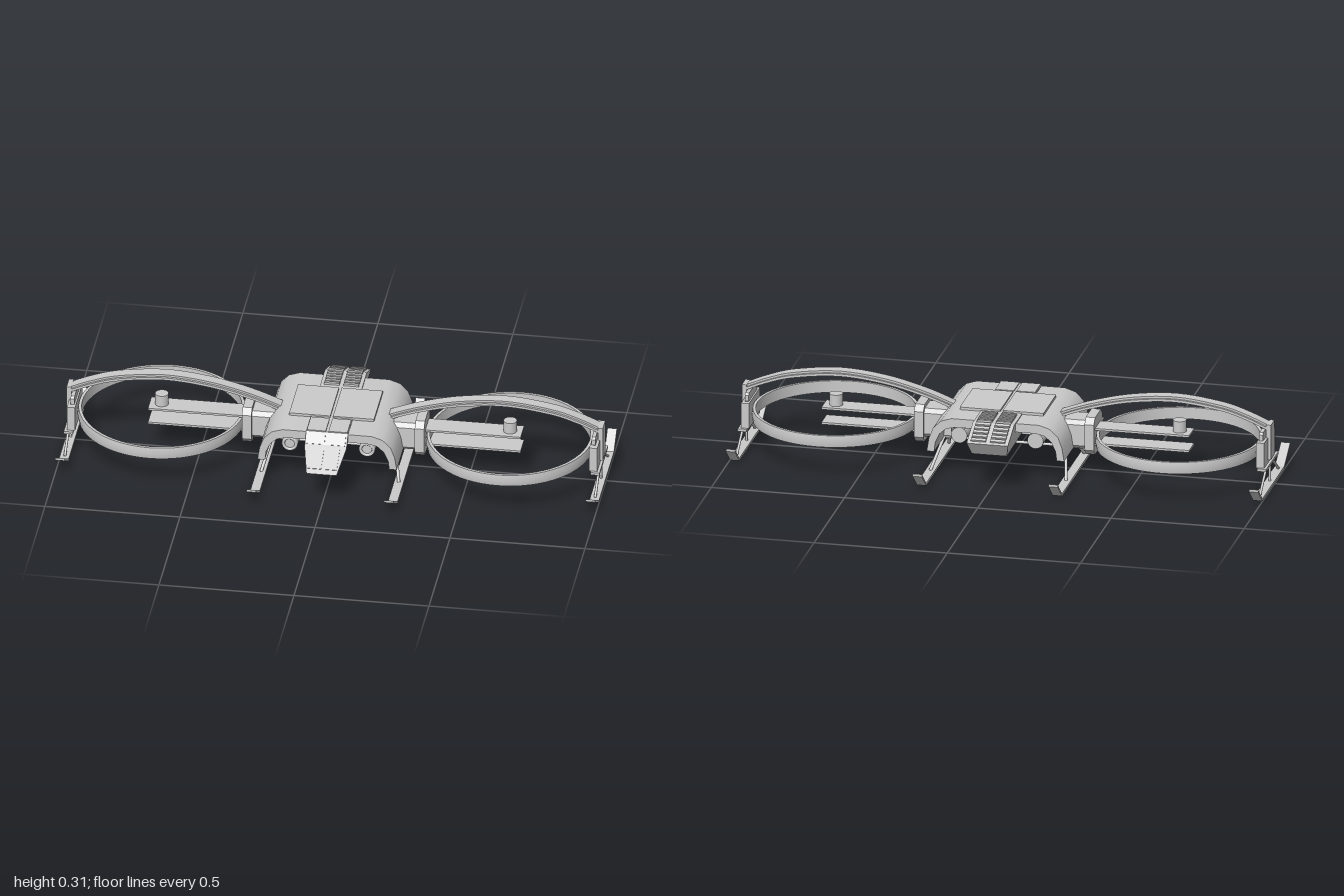
import * as THREE from 'three';
import { toCreasedNormals } from 'three/addons/utils/BufferGeometryUtils.js';

const material = new THREE.MeshStandardMaterial({ color: 0xcccccc });
const V = (x, y, z) => new THREE.Vector3(x, y, z);

function add(parent, name, geometry) {
  const mesh = new THREE.Mesh(geometry, material);
  mesh.name = name;
  parent.add(mesh);
  return mesh;
}

function box(parent, name, w, h, d, x, y, z) {
  const mesh = add(parent, name, new THREE.BoxGeometry(w, h, d));
  mesh.position.set(x, y, z);
  return mesh;
}

// Round bar between two points
function bar(parent, name, a, b, r) {
  const mesh = add(parent, name, new THREE.CylinderGeometry(r, r, a.distanceTo(b), 8));
  mesh.position.copy(a).lerp(b, 0.5);
  mesh.quaternion.setFromUnitVectors(V(0, 1, 0), b.clone().sub(a).normalize());
  return mesh;
}

// Outline in (x, y), extruded symmetrically along z
function extrudeZ(points, depth) {
  const shape = new THREE.Shape(points.map(p => new THREE.Vector2(p[0], p[1])));
  const g = new THREE.ExtrudeGeometry(shape, { depth, bevelEnabled: false });
  g.translate(0, 0, -depth / 2);
  return toCreasedNormals(g, 0.5);
}

// Outline in (z, y), extruded symmetrically along x
const extrudeX = (points, width) => extrudeZ(points, width).rotateY(-Math.PI / 2);

// Closed outline of a strip: a path and the same path moved down by t
const strip = (path, t) => [...path, ...path.map(p => [p[0], p[1] - t]).reverse()];

// Smooth open path through a few points
const smooth = (pts, n) => new THREE.SplineCurve(pts.map(p => new THREE.Vector2(...p)))
  .getPoints(n).map(p => [p.x, p.y]);

function skid(parent, name, x, front, back) {
  const path = [[-back - 0.07, 0.068], [-back - 0.035, 0.038], [-back, 0.01],
    [front, 0.01], [front + 0.05, 0.038], [front + 0.1, 0.068]];
  add(parent, name, extrudeX(strip(path, 0.01), 0.035)).position.x = x;
}

function buildHull() {
  const hull = new THREE.Group();
  hull.name = 'hull';

  // Arched canopy shell, open below
  const half = [[0.258, 0.1], [0.25, 0.15], [0.235, 0.19], [0.205, 0.22], [0.165, 0.233]];
  const inner = [[0.15, 0.2], [0.185, 0.192], [0.21, 0.17], [0.226, 0.135], [0.23, 0.1]];
  const flip = pts => pts.map(p => [-p[0], p[1]]).reverse();
  add(hull, 'canopy', extrudeZ([...half, ...flip(half), ...flip(inner), ...inner], 0.42));

  // Central fuselage with a wedge nose and an upswept tail
  const fuselage = extrudeX([[0.31, 0.132], [0.345, 0.135], [0.25, 0.194], [0.24, 0.2],
    [0.21, 0.237], [-0.24, 0.237], [-0.345, 0.192], [-0.31, 0.14]], 0.155);
  const pos = fuselage.attributes.position;
  for (let i = 0; i < pos.count; i++) {
    const z = pos.getZ(i);
    if (z > 0.28) pos.setX(i, pos.getX(i) * 0.72);
    else if (z < -0.28 && pos.getY(i) < 0.16) pos.setX(i, pos.getX(i) * 0.85);
  }
  add(hull, 'fuselage', toCreasedNormals(fuselage, 0.3));

  // Roof panels, windscreen panes and vents, on both sides of the centre line
  for (const s of [-1, 1]) {
    box(hull, 'roofPanel', 0.152, 0.014, 0.21, s * 0.081, 0.236, -0.003);
    box(hull, 'frontRoofStrip', 0.07, 0.014, 0.095, s * 0.04, 0.234, 0.162);
    const pane = box(hull, 'windscreenPane', 0.066, 0.006, 0.046, s * 0.038, 0.219, 0.226);
    pane.rotation.x = 0.89;
    const nosePlate = box(hull, 'nosePlate', 0.05, 0.004, 0.085, s * 0.029, 0.169, 0.291);
    nosePlate.rotation.x = 0.56;
    for (let i = 0; i < 6; i++)
      box(hull, 'roofVent', 0.056, 0.016, 0.011, s * 0.036, 0.237, -0.138 - i * 0.018);
    for (let i = 0; i < 5; i++) {
      const vent = box(hull, 'tailVent', 0.056, 0.012, 0.013, s * 0.036,
        0.234 - i * 0.0085, -0.25 - i * 0.0195);
      vent.rotation.x = -0.41;
    }

    // Engine pod with a ringed intake, hung under the canopy
    const pod = add(hull, 'enginePod', new THREE.CylinderGeometry(0.03, 0.03, 0.36, 24));
    pod.rotation.x = Math.PI / 2;
    pod.position.set(s * 0.143, 0.16, 0);
    const lip = add(hull, 'intakeRing', new THREE.TorusGeometry(0.024, 0.006, 8, 24));
    lip.position.set(s * 0.143, 0.16, 0.18);
    box(hull, 'podPylon', 0.04, 0.03, 0.34, s * 0.143, 0.194, 0);
  }

  // Cross tubes joining the main skids
  for (const z of [-0.05, 0.05])
    bar(hull, 'crossTube', V(-0.23, 0.104, z), V(0.23, 0.104, z), 0.006);
  return hull;
}

// Rotor assembly for the +x side (s = 1) or the -x side (s = -1)
function buildSide(s) {
  const g = new THREE.Group();
  g.name = s > 0 ? 'leftWing' : 'rightWing';

  // Shoulder block and chamfered collar
  const chamfered = (w, lo, hi, c) => [[-w + c, lo], [w - c, lo], [w, lo + c], [w, hi - c],
    [w - c, hi], [-w + c, hi], [-w, hi - c], [-w, lo + c]];
  add(g, 'shoulder', extrudeX(chamfered(0.058, 0.095, 0.205, 0.015), 0.12)).position.x = s * 0.26;
  add(g, 'collar', extrudeX(chamfered(0.07, 0.077, 0.22, 0.022), 0.035)).position.x = s * 0.32;

  // Rotor ring
  const profile = [[0.305, 0.12], [0.309, 0.142], [0.305, 0.165], [0.294, 0.165],
    [0.294, 0.12], [0.305, 0.12]].map(p => new THREE.Vector2(...p));
  const ring = add(g, 'rotorRing', toCreasedNormals(new THREE.LatheGeometry(profile, 64), 0.6));
  ring.position.set(s * 0.645, 0, -0.005);

  // Two-layer arch over the rotor
  const arch = [[0.2, 0.222], [0.31, 0.262], [0.46, 0.299], [0.63, 0.315],
    [0.8, 0.296], [0.9, 0.267], [0.988, 0.23]];
  const path = smooth(arch, 28).map(p => [s * p[0], p[1]]);
  if (s > 0) path.reverse();
  add(g, 'archRidge', extrudeZ(strip(path, 0.012), 0.042));
  add(g, 'archBase', extrudeZ(strip(path.map(p => [p[0], p[1] - 0.008]), 0.01), 0.06));

  // Twin rotor-support plates with the motor on top
  box(g, 'upperPlate', 0.39, 0.008, 0.085, s * 0.495, 0.174, -0.004);
  box(g, 'lowerPlate', 0.39, 0.008, 0.085, s * 0.495, 0.116, -0.004);
  const motor = add(g, 'motor', new THREE.CylinderGeometry(0.025, 0.025, 0.046, 20));
  motor.position.set(s * 0.645, 0.199, -0.004);

  // Wing tip: post, end plate and foot plate
  box(g, 'tipPost', 0.018, 0.135, 0.06, s * 0.984, 0.169, 0);
  box(g, 'endPlate', 0.03, 0.097, 0.182, s * 0.967, 0.138, 0);
  add(g, 'tipBracket', extrudeX(chamfered(0.07, 0.18, 0.218, 0.008), 0.014)).position.x = s * 0.965;
  box(g, 'footPlate', 0.034, 0.01, 0.205, s * 0.975, 0.085, 0);

  // Tip skid with its struts
  const tip = s * 0.982;
  skid(g, 'tipSkid', tip, 0.16, 0.195);
  bar(g, 'tipStrut', V(tip, 0.008, 0), V(tip, 0.085, 0), 0.005);
  bar(g, 'tipStrut', V(tip, 0.008, 0.142), V(tip, 0.082, 0.04), 0.005);
  bar(g, 'tipStrut', V(tip, 0.008, -0.165), V(tip, 0.082, -0.055), 0.005);

  // Main skid with its struts
  skid(g, 'mainSkid', s * 0.255, 0.28, 0.305);
  bar(g, 'mainStrut', V(s * 0.255, 0.008, 0.142), V(s * 0.228, 0.105, 0.05), 0.006);
  bar(g, 'mainStrut', V(s * 0.255, 0.008, -0.165), V(s * 0.228, 0.105, -0.05), 0.006);
  return g;
}

export function createModel() {
  const model = new THREE.Group();
  model.name = 'twinRotorAircraft';
  model.add(buildHull(), buildSide(1), buildSide(-1));
  return model;
}
